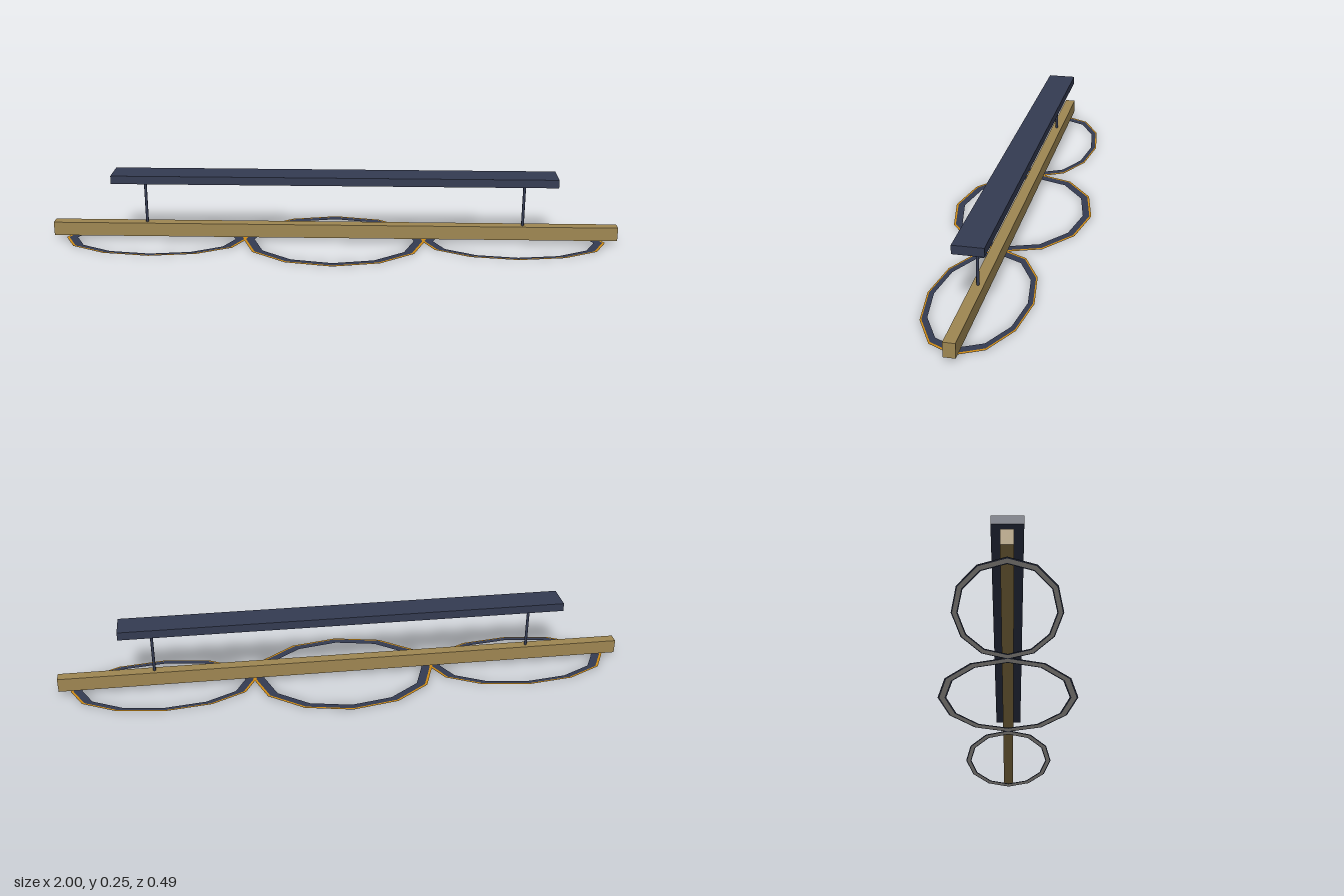
import * as THREE from 'three';

const mat = (name, color, side = THREE.FrontSide) => {
  const m = new THREE.MeshStandardMaterial({ color, side });
  m.name = name;
  return m;
};

export function createModel() {
  const wood = mat('wood', 0x9f8752);
  const navy = mat('navy metal', 0x343b52);
  const navySheet = mat('navy sheet', 0x343b52, THREE.DoubleSide);
  const amber = mat('amber trim', 0xd08c14);
  const diffuser = mat('pale diffuser', 0xc8c4bc);

  const group = new THREE.Group();
  const add = (name, geometry, material, x, y, z, parent = group) => {
    const mesh = new THREE.Mesh(geometry, material);
    mesh.name = name;
    mesh.position.set(x, y, z);
    parent.add(mesh);
    return mesh;
  };

  // Ceiling plate and wooden beam
  add('ceilingPlate', new THREE.BoxGeometry(1.556, 0.029, 0.1), navy, 0, 0.2355, 0);
  add('beam', new THREE.BoxGeometry(2, 0.049, 0.038), wood, 0, 0.0405, 0);

  // Suspension rods
  for (const s of [-1, 1]) {
    add('rod', new THREE.CylinderGeometry(0.005, 0.005, 0.162, 8), navy, s * 0.667, 0.143, 0);
  }

  // Flat twelve-sided oval, facing up or down
  const oval = (inner, outer, squash, up) =>
    new THREE.RingGeometry(inner, outer, 12, 1)
      .scale(1, squash, 1)
      .rotateX(up ? -Math.PI / 2 : Math.PI / 2);

  // Light rings: navy band, amber outer trim above, pale diffuser below
  for (const [x, depth] of [[-0.637, 0.169], [0, 0.246], [0.637, 0.169]]) {
    const ring = new THREE.Group();
    ring.name = 'lightRing';
    ring.position.x = x;
    const squash = depth / 0.325;
    add('ringBand', oval(0.285, 0.325, squash, true), navySheet, 0, 0.001, 0, ring);
    add('ringTrim', oval(0.316, 0.325, squash, true), amber, 0, 0.002, 0, ring);
    add('ringDiffuser', oval(0.293, 0.317, squash, false), diffuser, 0, 0, 0, ring);
    group.add(ring);
  }
  return group;
}
